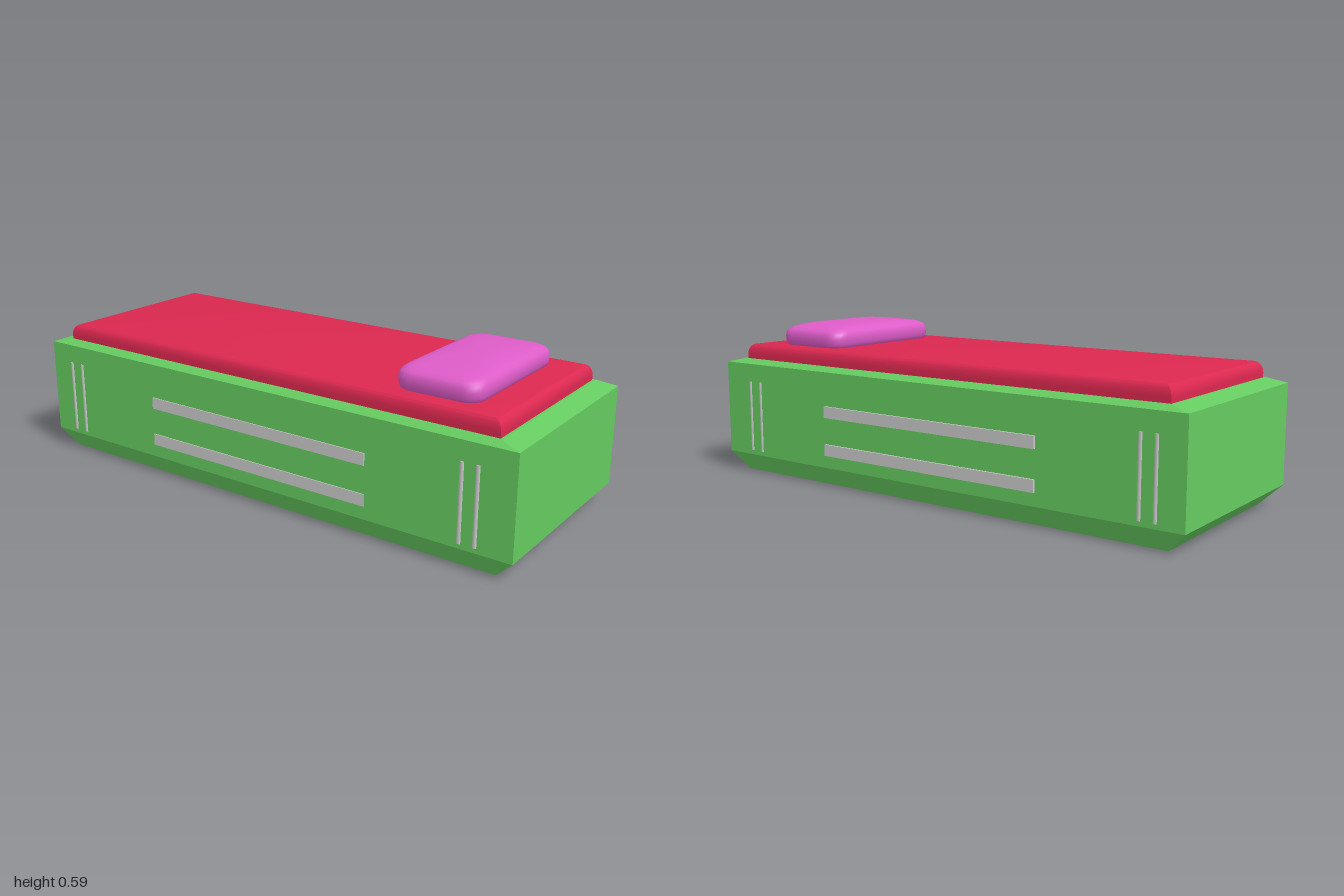
import * as THREE from 'three';
import { toCreasedNormals } from 'three/addons/utils/BufferGeometryUtils.js';

const paint = (color) => new THREE.MeshStandardMaterial({ color });

// Outline of a rectangle, with rounded corners when r > 0
function outline(hx, hz, r, segs) {
  const points = [];
  [[1, 1], [-1, 1], [-1, -1], [1, -1]].forEach(([sx, sz], corner) => {
    for (let i = 0; i <= segs; i++) {
      const a = (corner + (segs ? i / segs : 0)) * Math.PI / 2;
      points.push([sx * (hx - r) + r * Math.cos(a), sz * (hz - r) + r * Math.sin(a)]);
    }
  });
  return points;
}

// Closed solid through stacked outlines; each ring is [y, halfX, halfZ, cornerRadius]
function loft(rings, segs, crease) {
  const positions = [], index = [];
  const n = 4 * (segs + 1);
  for (const [y, hx, hz, r = 0] of rings) {
    for (const [x, z] of outline(hx, hz, r, segs)) positions.push(x, y, z);
  }
  const last = rings.length - 1, bottom = n * rings.length, top = bottom + 1;
  positions.push(0, rings[0][0], 0, 0, rings[last][0], 0);
  for (let i = 0; i < n; i++) {
    const j = (i + 1) % n;
    for (let k = 0; k < last; k++) {
      const a = k * n + i, b = k * n + j;
      index.push(a, a + n, b, b, a + n, b + n);
    }
    index.push(bottom, i, j, top, last * n + j, last * n + i);
  }
  const geometry = new THREE.BufferGeometry();
  geometry.setAttribute('position', new THREE.Float32BufferAttribute(positions, 3));
  geometry.setIndex(index);
  return toCreasedNormals(geometry, crease);
}

export function createModel() {
  const group = new THREE.Group();
  const add = (name, geometry, material, x, y, z) => {
    const mesh = new THREE.Mesh(geometry, material);
    mesh.name = name;
    mesh.position.set(x, y, z);
    group.add(mesh);
    return mesh;
  };

  // Bed base, chamfered below and slightly sloped at the top rim
  add('base', loft([
    [0, 0.93, 0.347], [0.07, 1, 0.381], [0.43, 1, 0.381], [0.446, 0.93, 0.355],
  ], 0, 0.1), paint(0x66cc60), 0, 0, 0.002);

  // Mattress with rounded upper edges and mitred corners
  const mattress = [[0.44, 0.922, 0.345]];
  for (let i = 0; i <= 8; i++) {
    const a = i / 8 * Math.PI / 2;
    const inset = 1 - Math.cos(a);
    mattress.push([0.463 + 0.04 * Math.sin(a), 0.922 - 0.03 * inset, 0.345 - 0.02 * inset]);
  }
  add('mattress', loft(mattress, 0, 0.6), paint(0xdc2850), -0.002, 0, 0.003);

  // Soft pillow
  add('pillow', loft([
    [0.498, 0.14, 0.268, 0.05],
    [0.506, 0.149, 0.275, 0.055],
    [0.518, 0.154, 0.279, 0.06],
    [0.535, 0.156, 0.28, 0.06],
    [0.552, 0.154, 0.278, 0.06],
    [0.563, 0.148, 0.271, 0.06],
    [0.572, 0.137, 0.253, 0.06],
    [0.579, 0.122, 0.222, 0.06],
    [0.584, 0.1, 0.175, 0.055],
    [0.588, 0.055, 0.1, 0.04],
  ], 6, 1), paint(0xdd5cc8), 0.652, 0, 0.003);

  // Trim on both long sides: flat rails in the middle, round rods near the ends
  const grey = paint(0xcccccc);
  const rail = new THREE.BoxGeometry(0.935, 0.043, 0.02);
  const rod = new THREE.CylinderGeometry(0.009, 0.009, 0.274, 16);
  for (const side of [1, -1]) {
    const where = side > 0 ? 'front' : 'back';
    for (const y of [0.139, 0.282]) add(where + 'Rail', rail, grey, -0.002, y, side * 0.3765);
    for (const x of [-0.9, -0.845, 0.815, 0.87]) {
      add(where + 'Rod', rod, grey, x, 0.224, side * 0.3755 + 0.0025);
    }
  }
  return group;
}
